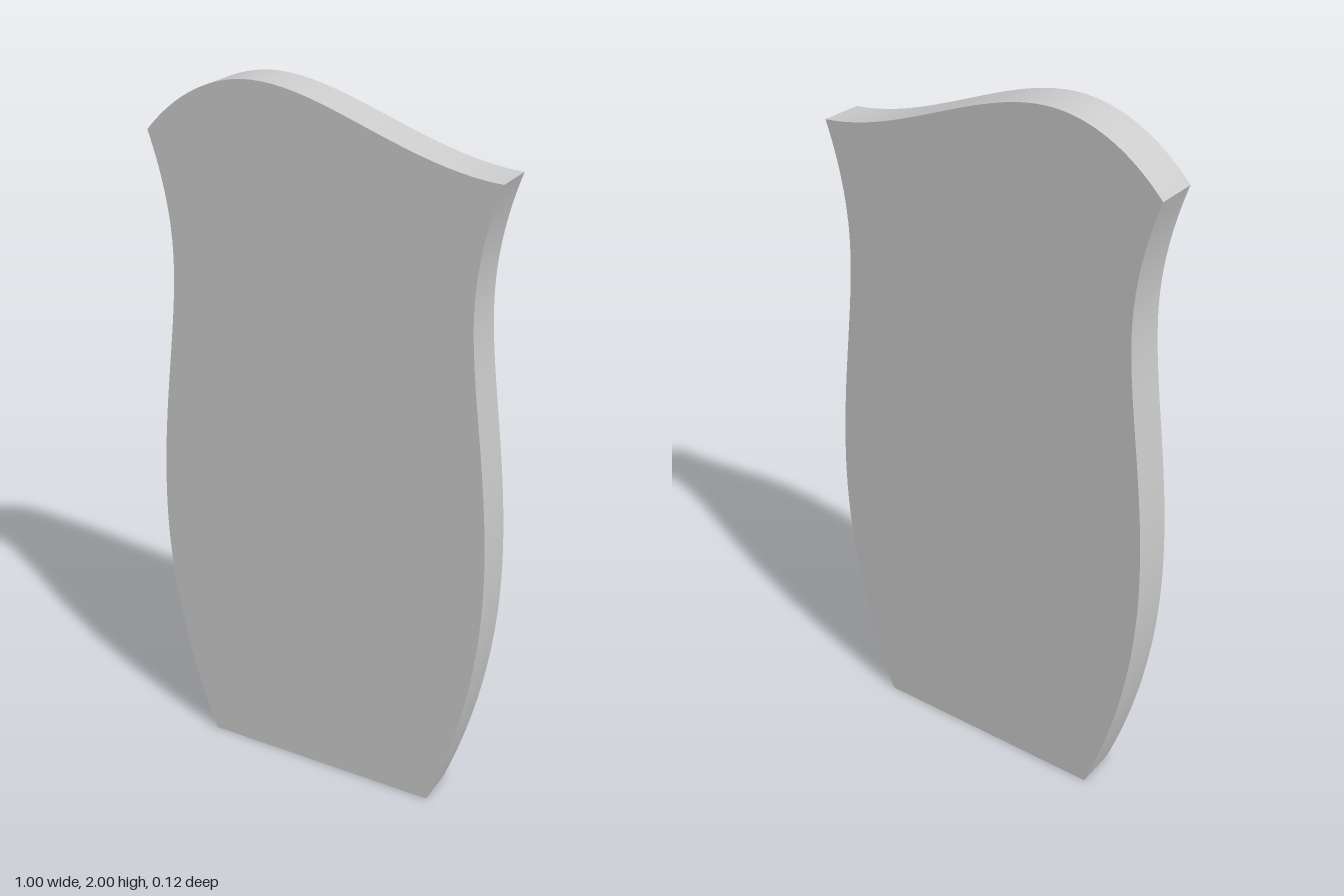
import * as THREE from 'three';
import { toCreasedNormals } from 'three/addons/utils/BufferGeometryUtils.js';

const DEPTH = 0.125;

export function createModel() {
  const group = new THREE.Group();
  group.name = 'curvedPanel';

  // Outline, counter-clockwise from the bottom left corner
  const outline = new THREE.Shape();
  outline.moveTo(-0.355, 0);
  outline.lineTo(0.355, 0);
  // Left edge: bulging body, narrow waist, flared shoulder
  outline.bezierCurveTo(0.45, 0.25, 0.498, 0.5, 0.498, 0.75);
  outline.bezierCurveTo(0.498, 1.05, 0.436, 1.3, 0.436, 1.5);
  outline.bezierCurveTo(0.436, 1.62, 0.46, 1.73, 0.496, 1.83);
  // Top edge: S-curve with an off-centre crest
  outline.bezierCurveTo(0.25, 1.84, 0.02, 2, -0.18, 2);
  outline.bezierCurveTo(-0.3, 2, -0.41, 1.94, -0.499, 1.84);
  // Right edge, running back down
  outline.bezierCurveTo(-0.46, 1.73, -0.436, 1.62, -0.436, 1.5);
  outline.bezierCurveTo(-0.436, 1.3, -0.498, 1.05, -0.498, 0.75);
  outline.bezierCurveTo(-0.498, 0.5, -0.45, 0.25, -0.355, 0);

  // Flat slab with smooth rims and sharp corners
  const slab = new THREE.ExtrudeGeometry(outline, { depth: DEPTH, bevelEnabled: false, curveSegments: 20 });
  slab.translate(0, 0, -DEPTH / 2);

  const panel = new THREE.Mesh(
    toCreasedNormals(slab, Math.PI / 6),
    new THREE.MeshStandardMaterial({ color: 0xcccccc })
  );
  panel.name = 'panel';
  group.add(panel);
  return group;
}
